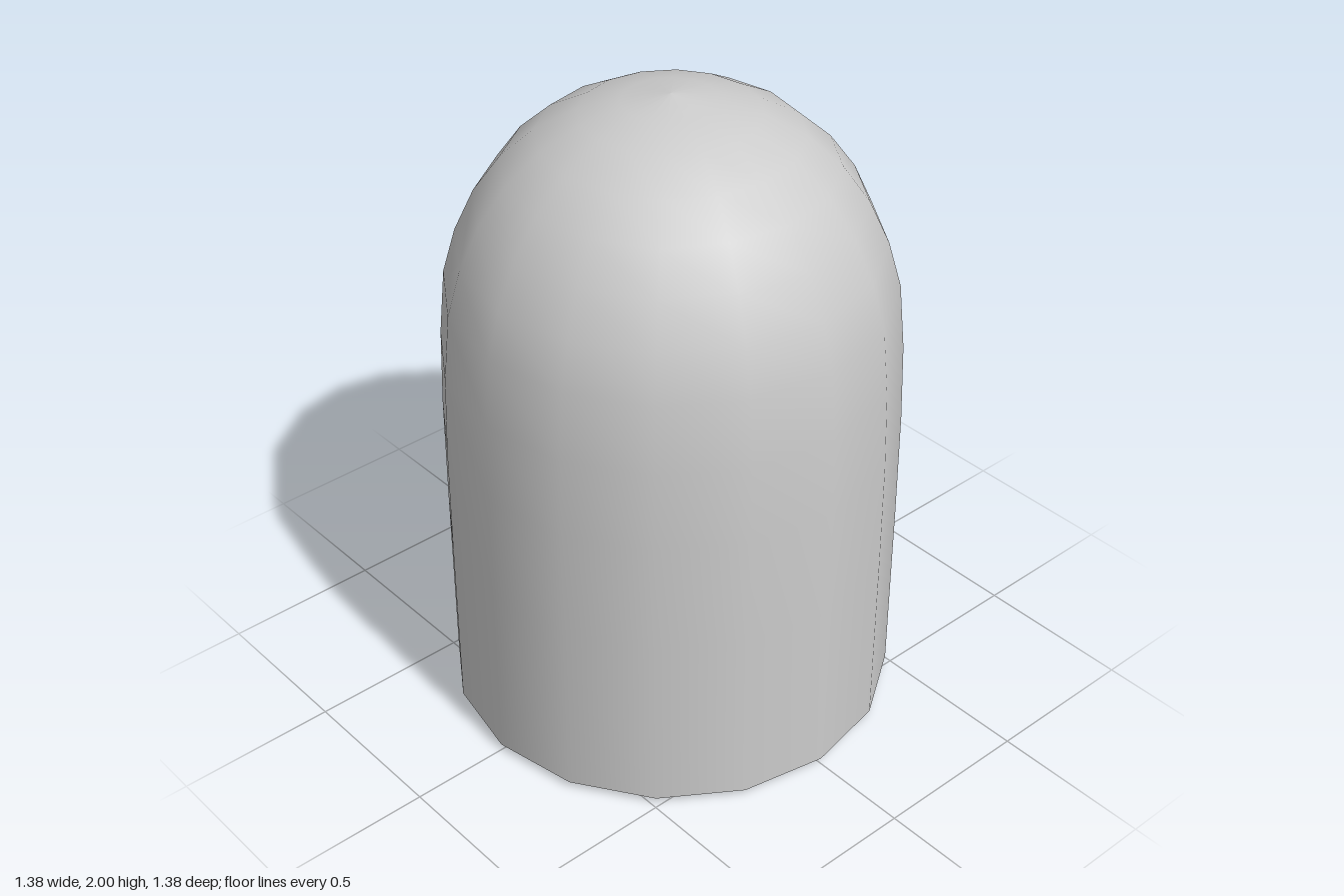
import * as THREE from 'three';

const SIDES = 16;

// Revolve a profile of [radius, height] pairs, listed from bottom to top of the outside
function revolve(name, profile, material) {
  const points = profile.map(([r, y]) => new THREE.Vector2(r, y));
  const mesh = new THREE.Mesh(new THREE.LatheGeometry(points, SIDES), material);
  mesh.name = name;
  return mesh;
}

export function createModel() {
  const model = new THREE.Group();
  model.name = 'domedCapsule';
  const material = new THREE.MeshStandardMaterial({ color: 0xcccccc });

  // Straight wall easing into a rounded dome
  model.add(revolve('domedShell', [
    [0.69, 0.02], [0.69, 0.6], [0.688, 0.95], [0.68, 1.2], [0.66, 1.41],
    [0.62, 1.55], [0.56, 1.68], [0.48, 1.79], [0.38, 1.88], [0.26, 1.945],
    [0.14, 1.98], [0, 2],
  ], material));

  // Bevelled edge around the foot
  model.add(revolve('bottomRim', [[0.59, 0.01], [0.64, 0], [0.69, 0.02]], material));

  // Recessed underside with concentric ridges and a small centre boss
  model.add(revolve('ringedBase', [
    [0, 0.075], [0.12, 0.08], [0.18, 0.1], [0.2, 0.12], [0.25, 0.11],
    [0.27, 0.09], [0.3, 0.11], [0.35, 0.12], [0.39, 0.09], [0.42, 0.08],
    [0.46, 0.12], [0.5, 0.1], [0.55, 0.045], [0.59, 0.01],
  ], material));

  return model;
}
